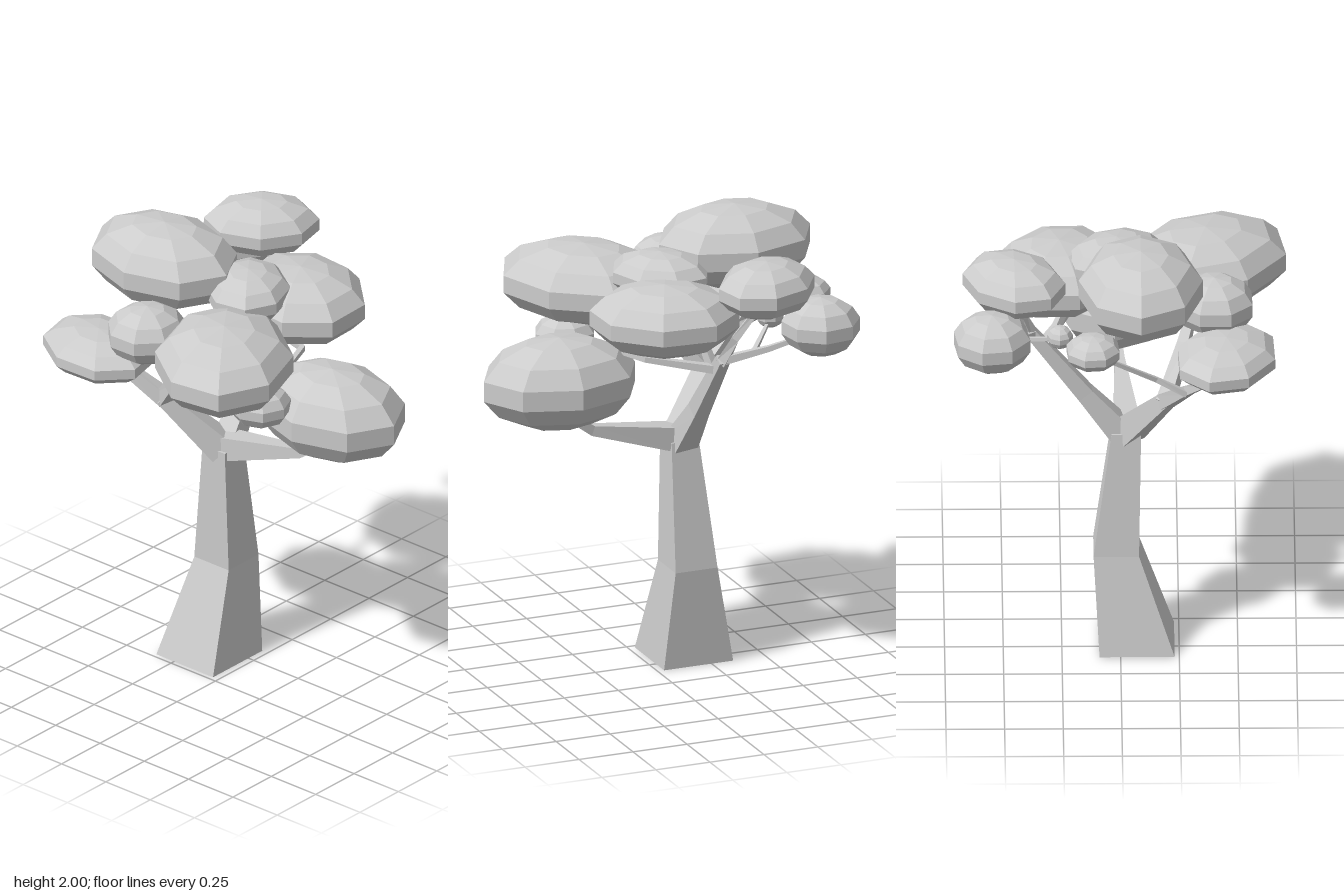
import * as THREE from 'three';

const material = new THREE.MeshStandardMaterial({ color: 0xcccccc, flatShading: true });

// Square-section limb through points [x, y, z, halfWidth]; upright keeps the rings level
function limb(name, points, upright = false) {
  const up = new THREE.Vector3(0, 1, 0);
  const centres = points.map(p => new THREE.Vector3(p[0], p[1], p[2]));
  const position = [], index = [];
  centres.forEach((c, i) => {
    const before = centres[Math.max(i - 1, 0)];
    const after = centres[Math.min(i + 1, centres.length - 1)];
    const t = upright ? up.clone() : after.clone().sub(before).normalize();
    const u = upright ? new THREE.Vector3(1, 0, 0) : t.clone().cross(up).normalize();
    const v = t.clone().cross(u);
    for (const [a, b] of [[1, 1], [-1, 1], [-1, -1], [1, -1]]) {
      const p = c.clone().addScaledVector(u, a * points[i][3]).addScaledVector(v, b * points[i][3]);
      position.push(p.x, p.y, p.z);
    }
    if (i === 0) return;
    for (let j = 0; j < 4; j++) {
      const k = (j + 1) % 4, lo = (i - 1) * 4, hi = i * 4;
      index.push(lo + j, lo + k, hi + k, lo + j, hi + k, hi + j);
    }
  });
  const e = (points.length - 1) * 4;
  index.push(0, 2, 1, 0, 3, 2, e, e + 1, e + 2, e, e + 2, e + 3);
  const indexed = new THREE.BufferGeometry();
  indexed.setAttribute('position', new THREE.Float32BufferAttribute(position, 3));
  indexed.setIndex(index);
  const geometry = indexed.toNonIndexed();
  geometry.computeVertexNormals();
  const mesh = new THREE.Mesh(geometry, material);
  mesh.name = name;
  return mesh;
}

// Flattened low-poly leaf clump
const clumpGeometry = new THREE.SphereGeometry(1, 8, 7);
function clump(name, x, y, z, rx, ry, rz, turn) {
  const mesh = new THREE.Mesh(clumpGeometry, material);
  mesh.name = name;
  mesh.position.set(x, y, z);
  mesh.scale.set(rx / 0.975, ry, rz / 0.975);
  mesh.rotation.y = turn;
  return mesh;
}

export function createModel() {
  const tree = new THREE.Group();
  tree.name = 'tree';

  // Trunk, wide at the foot
  tree.add(limb('trunk', [
    [-0.19, 0, 0.07, 0.16], [-0.17, 0.44, -0.018, 0.097], [-0.15, 1.0, 0.025, 0.063],
  ], true));

  // Main branches and their forks
  const branches = new THREE.Group();
  branches.name = 'branches';
  branches.add(
    limb('leftBranch', [[-0.13, 1.005, 0.025, 0.055], [0.27, 1.1, 0.0, 0.022], [0.44, 1.22, -0.02, 0.015]]),
    limb('frontBranch', [[-0.15, 0.99, 0.03, 0.06], [-0.34, 1.24, 0.2, 0.033]]),
    limb('frontOuterFork', [[-0.33, 1.225, 0.19, 0.033], [-0.53, 1.385, 0.29, 0.021], [-0.62, 1.46, 0.36, 0.014]]),
    limb('frontInnerFork', [[-0.34, 1.22, 0.19, 0.033], [-0.18, 1.42, 0.27, 0.024], [0.02, 1.56, 0.33, 0.016]]),
    limb('sideTwig', [[-0.54, 1.37, 0.28, 0.013], [-0.54, 1.44, 0.15, 0.01], [-0.63, 1.6, -0.1, 0.008]]),
    limb('backBranch', [[-0.15, 0.98, 0.01, 0.055], [-0.165, 1.18, -0.15, 0.036], [-0.18, 1.48, -0.38, 0.024]]),
    limb('backFork', [[-0.18, 1.46, -0.37, 0.022], [-0.22, 1.58, -0.42, 0.016], [-0.33, 1.74, -0.46, 0.01]]),
    limb('backOuterFork', [[-0.18, 1.47, -0.37, 0.018], [-0.36, 1.53, -0.46, 0.012], [-0.52, 1.6, -0.54, 0.008]]),
    limb('backInnerFork', [[-0.17, 1.42, -0.33, 0.018], [0.1, 1.46, -0.2, 0.012], [0.25, 1.45, 0.2, 0.008]]),
    limb('centreFork', [[-0.17, 1.4, -0.31, 0.02], [-0.13, 1.56, -0.24, 0.014], [-0.06, 1.7, -0.1, 0.01]]),
    limb('backTwig', [[-0.3, 1.51, -0.43, 0.01], [-0.45, 1.59, -0.26, 0.006]]),
  );
  tree.add(branches);

  // Leaf clumps: name, centre, radii, turn about y
  const leaves = new THREE.Group();
  leaves.name = 'leaves';
  [
    ['topClump', -0.43, 1.82, 0.085, 0.35, 0.18, 0.265, 0],
    ['lowLeftClump', 0.425, 1.345, -0.02, 0.35, 0.2, 0.265, 0],
    ['frontClump', 0.15, 1.638, 0.365, 0.387, 0.173, 0.296, -0.92],
    ['backClump', 0.04, 1.655, -0.26, 0.32, 0.155, 0.276, -0.417],
    ['centreClump', -0.045, 1.76, -0.015, 0.225, 0.108, 0.183, -0.91],
    ['backHighClump', -0.35, 1.803, -0.455, 0.247, 0.12, 0.197, 0.69],
    ['backOuterClump', -0.56, 1.635, -0.55, 0.17, 0.128, 0.168, -0.25],
    ['sideClump', -0.655, 1.635, -0.12, 0.122, 0.075, 0.118, -0.3],
    ['frontFlatClump', -0.485, 1.514, 0.45, 0.28, 0.1, 0.215, -0.27],
    ['tinyClump', -0.45, 1.6, -0.26, 0.06, 0.05, 0.055, 0],
    ['frontRoundClump', -0.255, 1.652, 0.4, 0.168, 0.128, 0.175, -0.38],
    ['underClump', 0.275, 1.44, 0.275, 0.135, 0.095, 0.13, 0],
  ].forEach(c => leaves.add(clump(...c)));
  tree.add(leaves);

  return tree;
}
